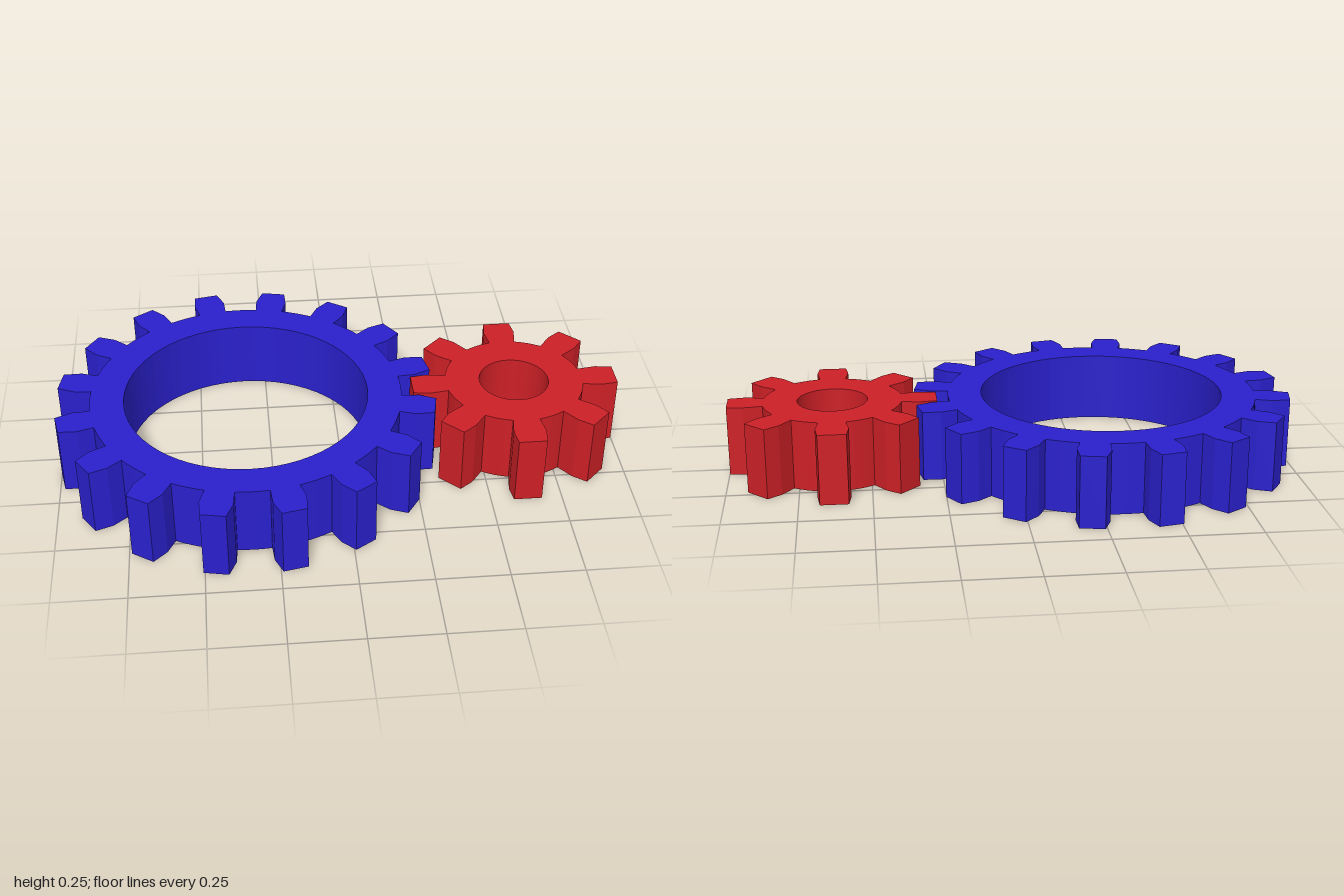
import * as THREE from 'three';

const HEIGHT = 0.25;

// Flat gear: each tooth is a mirrored profile of [distance from axis, half width], root to tip
function makeGear({ name, color, x, teeth, phase, rootRadius, holeRadius, profile }) {
  const pitch = (Math.PI * 2) / teeth;
  const points = [];
  const rootHalfAngle = Math.atan2(profile[0][1], profile[0][0]);
  for (let i = 0; i < teeth; i++) {
    const a = (i + phase) * pitch;
    const add = (u, v) => points.push(new THREE.Vector2(
      u * Math.cos(a) - v * Math.sin(a), u * Math.sin(a) + v * Math.cos(a)));
    // flanks and tip of the tooth
    profile.forEach(([u, v]) => add(u, -v));
    [...profile].reverse().forEach(([u, v]) => add(u, v));
    // rounded valley up to the next tooth
    for (let k = 1; k < 4; k++) {
      const t = rootHalfAngle + (pitch - 2 * rootHalfAngle) * k / 4;
      add(rootRadius * Math.cos(t), rootRadius * Math.sin(t));
    }
  }
  const shape = new THREE.Shape(points);
  shape.holes.push(new THREE.Path().absarc(0, 0, holeRadius, 0, Math.PI * 2, true));

  const geometry = new THREE.ExtrudeGeometry(shape, {
    depth: HEIGHT, bevelEnabled: false, curveSegments: 32,
  });
  geometry.rotateX(-Math.PI / 2);
  const gear = new THREE.Mesh(geometry, new THREE.MeshStandardMaterial({ color, flatShading: true }));
  gear.name = name;
  gear.position.x = x;
  return gear;
}

export function createModel() {
  const model = new THREE.Group();
  model.name = 'gearPair';
  model.add(
    // large ring gear
    makeGear({
      name: 'largeGear', color: 0x2a20cc, x: -0.332, teeth: 16, phase: 0.5,
      rootRadius: 0.552, holeRadius: 0.432,
      profile: [[0.55, 0.05], [0.61, 0.057], [0.673, 0.043]],
    }),
    // small pinion
    makeGear({
      name: 'smallGear', color: 0xcc2026, x: 0.63, teeth: 8, phase: 0,
      rootRadius: 0.247, holeRadius: 0.124,
      profile: [[0.243, 0.047], [0.31, 0.057], [0.369, 0.049]],
    }),
  );
  return model;
}
